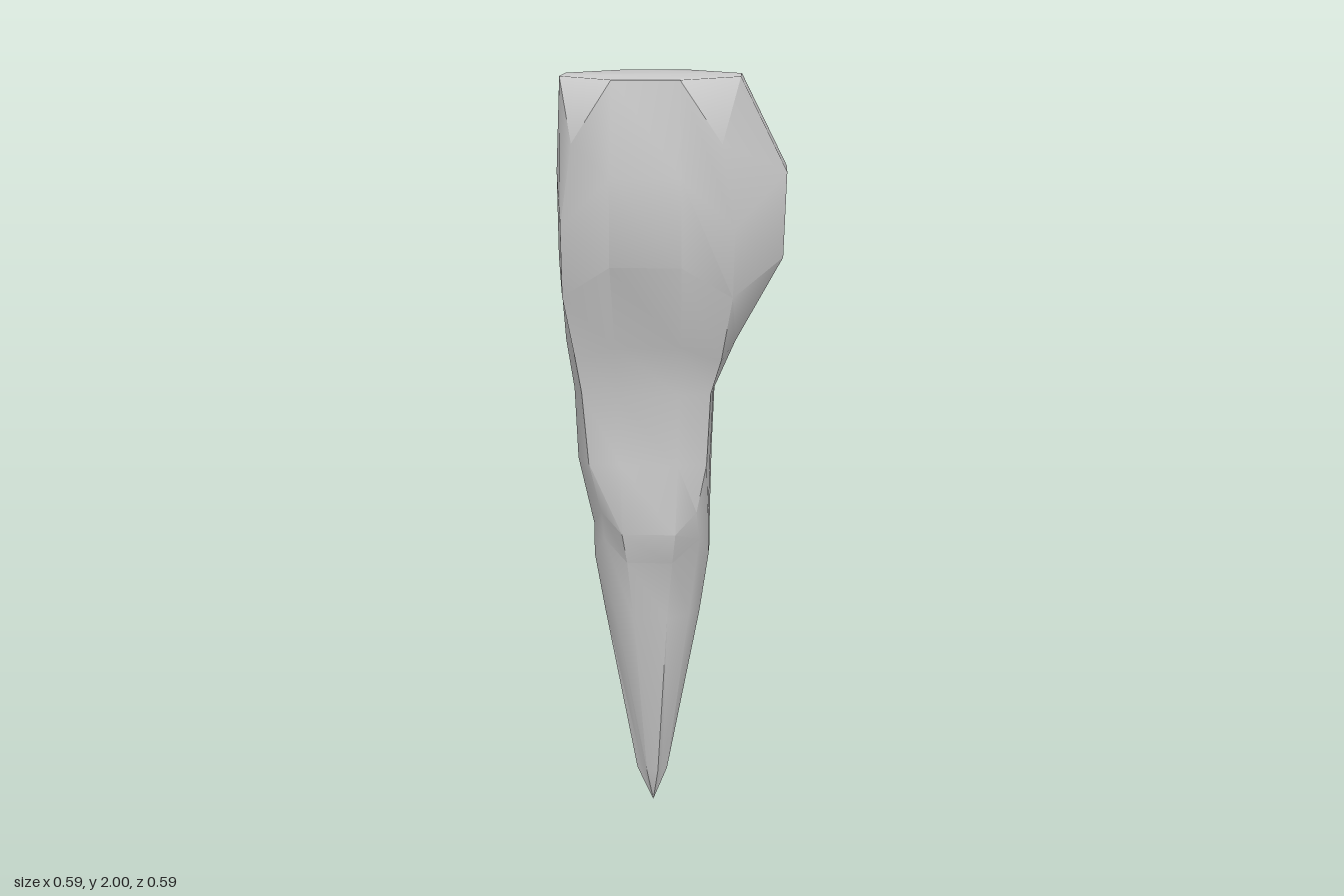
import * as THREE from 'three';
import { toCreasedNormals } from 'three/addons/utils/BufferGeometryUtils.js';

const CX = -0.057, CZ = -0.01; // axis through the tip

// Cross-sections from top to bottom:
// y, left, right, back, front, half side width, corner y, corner left, corner right, corner depth
const SECTIONS = [
  [2.00, -0.288, 0.175, -0.283, 0.261, 0.085, 1.84, -0.247, 0.132, 0.223],
  [1.76, -0.297, 0.295, -0.293, 0.292, 0.09, 1.63, -0.278, 0.165, 0.21],
  [1.54, -0.294, 0.287, -0.287, 0.292, 0.09, 1.45, -0.276, 0.16, 0.2],
  [1.32, -0.278, 0.165, -0.22, 0.19, 0.085, 1.28, -0.247, 0.13, 0.165],
  [1.19, -0.258, 0.108, -0.168, 0.17, 0.08, 1.19, -0.233, 0.103, 0.15],
  [1.00, -0.25, 0.1, -0.155, 0.155, 0.075, 1.0, -0.217, 0.093, 0.143],
  [0.82, -0.21, 0.096, -0.195, 0.18, 0.07, 0.87, -0.185, 0.067, 0.143],
  [0.73, -0.21, 0.096, -0.15, 0.135, 0.06, 0.79, -0.18, 0.074, 0.115],
  [0.57, -0.184, 0.072, -0.132, 0.116, 0.045, 0.57, -0.153, 0.045, 0.085],
  [0.10, -0.1, -0.018, -0.046, 0.032, 0.015, 0.1, -0.083, -0.031, 0.026],
];

// Twelve-sided ring: two points on each side, one on each corner
function ring([y, l, r, b, f, h, cy, cl, cr, cz]) {
  return [
    [r, y, CZ - h], [r, y, CZ + h], [cr, cy, CZ + cz],
    [CX + h, y, f], [CX - h, y, f], [cl, cy, CZ + cz],
    [l, y, CZ + h], [l, y, CZ - h], [cl, cy, CZ - cz],
    [CX - h, y, b], [CX + h, y, b], [cr, cy, CZ - cz],
  ];
}

function build(points, index) {
  const g = new THREE.BufferGeometry();
  g.setAttribute('position', new THREE.Float32BufferAttribute(points.flat(), 3));
  g.setIndex(index);
  g.computeVertexNormals();
  return g;
}

export function createModel() {
  const model = new THREE.Group();
  const material = new THREE.MeshStandardMaterial({ color: 0xcccccc });
  const rings = SECTIONS.map(ring);
  const n = 12;

  // Tapering body closed by a pointed tip
  const index = [];
  for (let k = 0; k < rings.length; k++) {
    for (let i = 0; i < n; i++) {
      const j = (i + 1) % n, a = k * n + i, b = k * n + j;
      if (k < rings.length - 1) index.push(a, b, a + n, b, b + n, a + n);
      else index.push(a, b, rings.length * n);
    }
  }
  const points = [...rings.flat(), [CX, 0, CZ]];
  const body = new THREE.Mesh(toCreasedNormals(build(points, index), 0.7), material);
  body.name = 'taperedBody';

  // Flat top whose four corners fold down
  const topIndex = [];
  const octagon = [0, 1, 3, 4, 6, 7, 9, 10];
  for (let i = 1; i < 7; i++) topIndex.push(octagon[0], octagon[i + 1], octagon[i]);
  for (const c of [2, 5, 8, 11]) topIndex.push((c + 1) % n, c, c - 1);
  const top = new THREE.Mesh(build(rings[0], topIndex), material);
  top.name = 'topCap';

  model.add(body, top);
  return model;
}
